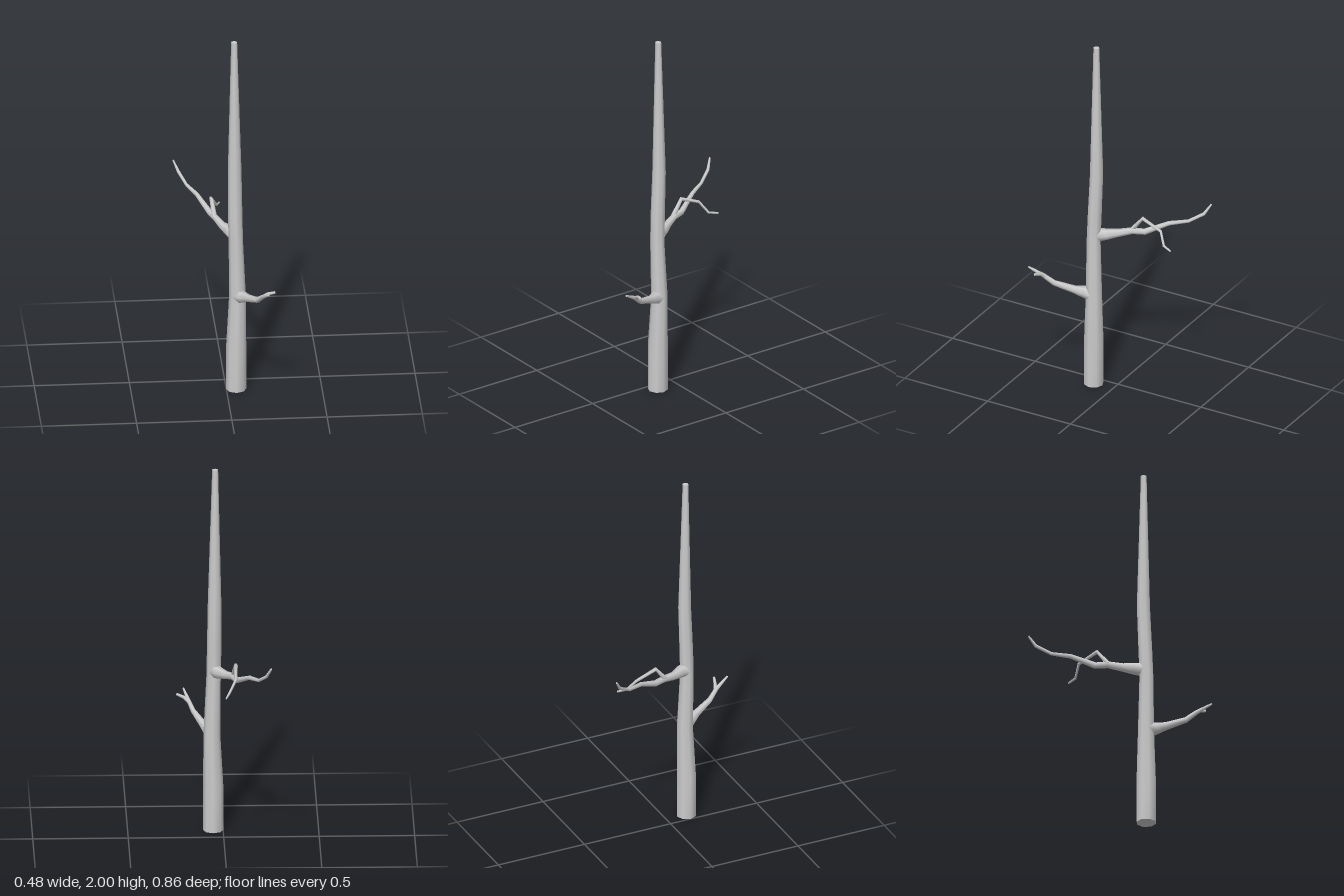
import * as THREE from 'three';

const material = new THREE.MeshStandardMaterial({ color: 0xcccccc });

// Tapered limb: each section is [x, y, z, radius]; rings are joined smoothly and both ends capped.
// A fixed axis keeps every ring level; otherwise rings turn to follow the path.
function limb(name, sections, sides, axis) {
  const centres = sections.map(([x, y, z]) => new THREE.Vector3(x, y, z));
  const last = centres.length - 1;
  const positions = [];
  const indices = [];
  const rings = [];

  centres.forEach((c, i) => {
    const before = centres[Math.max(i - 1, 0)];
    const after = centres[Math.min(i + 1, last)];
    const dir = axis ?? after.clone().sub(before).normalize();
    const ref = Math.abs(dir.y) > 0.95 ? new THREE.Vector3(0, 0, 1) : new THREE.Vector3(0, 1, 0);
    const u = ref.cross(dir).normalize();
    const v = dir.clone().cross(u);
    const ring = [];
    for (let k = 0; k < sides; k++) {
      const a = (k / sides) * Math.PI * 2;
      ring.push(c.clone()
        .addScaledVector(u, Math.cos(a) * sections[i][3])
        .addScaledVector(v, Math.sin(a) * sections[i][3]));
    }
    rings.push(ring);
    ring.forEach((p) => positions.push(p.x, p.y, p.z));
  });

  // Side walls
  for (let i = 0; i < last; i++) {
    for (let k = 0; k < sides; k++) {
      const a = i * sides + k;
      const b = i * sides + (k + 1) % sides;
      indices.push(a, b, b + sides, a, b + sides, a + sides);
    }
  }

  // End caps with their own vertices, so the rims stay sharp
  for (const end of [0, last]) {
    const start = positions.length / 3;
    rings[end].forEach((p) => positions.push(p.x, p.y, p.z));
    for (let k = 1; k < sides - 1; k++) {
      if (end === 0) indices.push(start, start + k + 1, start + k);
      else indices.push(start, start + k, start + k + 1);
    }
  }

  const geometry = new THREE.BufferGeometry();
  geometry.setAttribute('position', new THREE.Float32BufferAttribute(positions, 3));
  geometry.setIndex(indices);
  geometry.computeVertexNormals();
  const mesh = new THREE.Mesh(geometry, material);
  mesh.name = name;
  return mesh;
}

export function createModel() {
  const tree = new THREE.Group();
  tree.name = 'bareTree';

  // Trunk, slightly crooked and tapering to a blunt top
  tree.add(limb('trunk', [
    [0.052, 0, 0.117, 0.053],
    [0.052, 0.25, 0.117, 0.053],
    [0.059, 0.54, 0.112, 0.044],
    [0.05, 0.85, 0.119, 0.038],
    [0.047, 1.0, 0.114, 0.038],
    [0.045, 1.25, 0.104, 0.036],
    [0.042, 2, 0.107, 0.016],
  ], 8, new THREE.Vector3(0, 1, 0)));

  // Lower branch, reaching forward and forking near its end
  const lower = new THREE.Group();
  lower.name = 'lowerBranch';
  lower.add(
    limb('lowerBranchStem', [
      [0.065, 0.54, 0.125, 0.04],
      [0.085, 0.55, 0.162, 0.031],
      [0.108, 0.563, 0.205, 0.021],
      [0.15, 0.595, 0.3, 0.015],
      [0.174, 0.637, 0.35, 0.012],
      [0.2, 0.68, 0.427, 0.005],
    ], 6),
    limb('lowerBranchTwig', [
      [0.17, 0.63, 0.343, 0.011],
      [0.2, 0.655, 0.355, 0.009],
      [0.238, 0.668, 0.367, 0.007],
    ], 6),
  );
  tree.add(lower);

  // Upper branch, reaching backward with a drooping side twig
  const upper = new THREE.Group();
  upper.name = 'upperBranch';
  upper.add(
    limb('upperBranchStem', [
      [0.04, 0.885, 0.1, 0.036],
      [0.021, 0.889, 0.062, 0.031],
      [-0.012, 0.895, 0.01, 0.022],
      [-0.045, 0.912, -0.06, 0.018],
      [-0.068, 0.912, -0.122, 0.017],
      [-0.128, 0.965, -0.235, 0.012],
      [-0.175, 0.98, -0.325, 0.009],
      [-0.213, 1.025, -0.397, 0.009],
      [-0.238, 1.078, -0.427, 0.005],
    ], 6),
    limb('upperBranchTwig', [
      [-0.048, 0.915, -0.055, 0.014],
      [-0.06, 0.992, -0.115, 0.011],
      [-0.057, 0.947, -0.225, 0.008],
      [-0.022, 0.887, -0.264, 0.007],
      [-0.005, 0.877, -0.314, 0.005],
    ], 6),
  );
  tree.add(upper);

  return tree;
}
